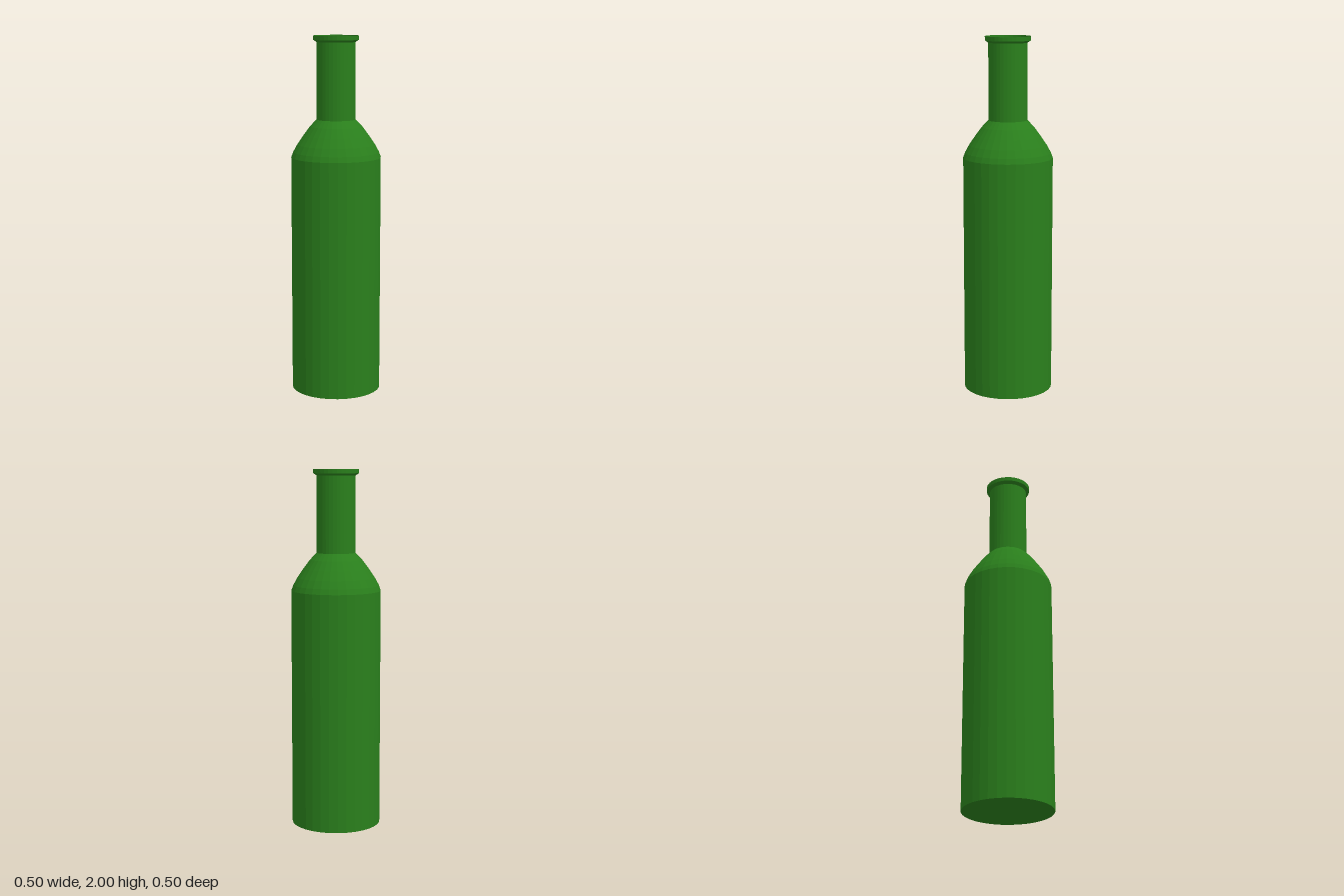
import * as THREE from 'three';

const SIDES = 32;

export function createModel() {
  const bottle = new THREE.Group();
  bottle.name = 'bottle';

  // thin open glass shell, visible inside through the mouth
  const glass = new THREE.MeshStandardMaterial({
    color: 0x2a7f1c, flatShading: true, side: THREE.DoubleSide,
  });

  // turn a [radius, height] profile, listed from bottom to top
  const turn = (name, profile) => {
    const points = profile.map(([r, y]) => new THREE.Vector2(r, y));
    const mesh = new THREE.Mesh(new THREE.LatheGeometry(points, SIDES), glass);
    mesh.name = name;
    bottle.add(mesh);
  };

  // flat base and straight wall
  turn('body', [[0, 0], [0.25, 0], [0.25, 1.33]]);

  // rounded shoulder narrowing to the neck
  turn('shoulder', [
    [0.25, 1.33], [0.239, 1.36], [0.216, 1.402],
    [0.182, 1.452], [0.145, 1.502], [0.108, 1.54],
  ]);

  // straight neck
  turn('neck', [[0.108, 1.54], [0.108, 1.965]]);

  // flared lip around the open mouth
  turn('lip', [[0.108, 1.965], [0.126, 1.977], [0.127, 2]]);

  return bottle;
}
